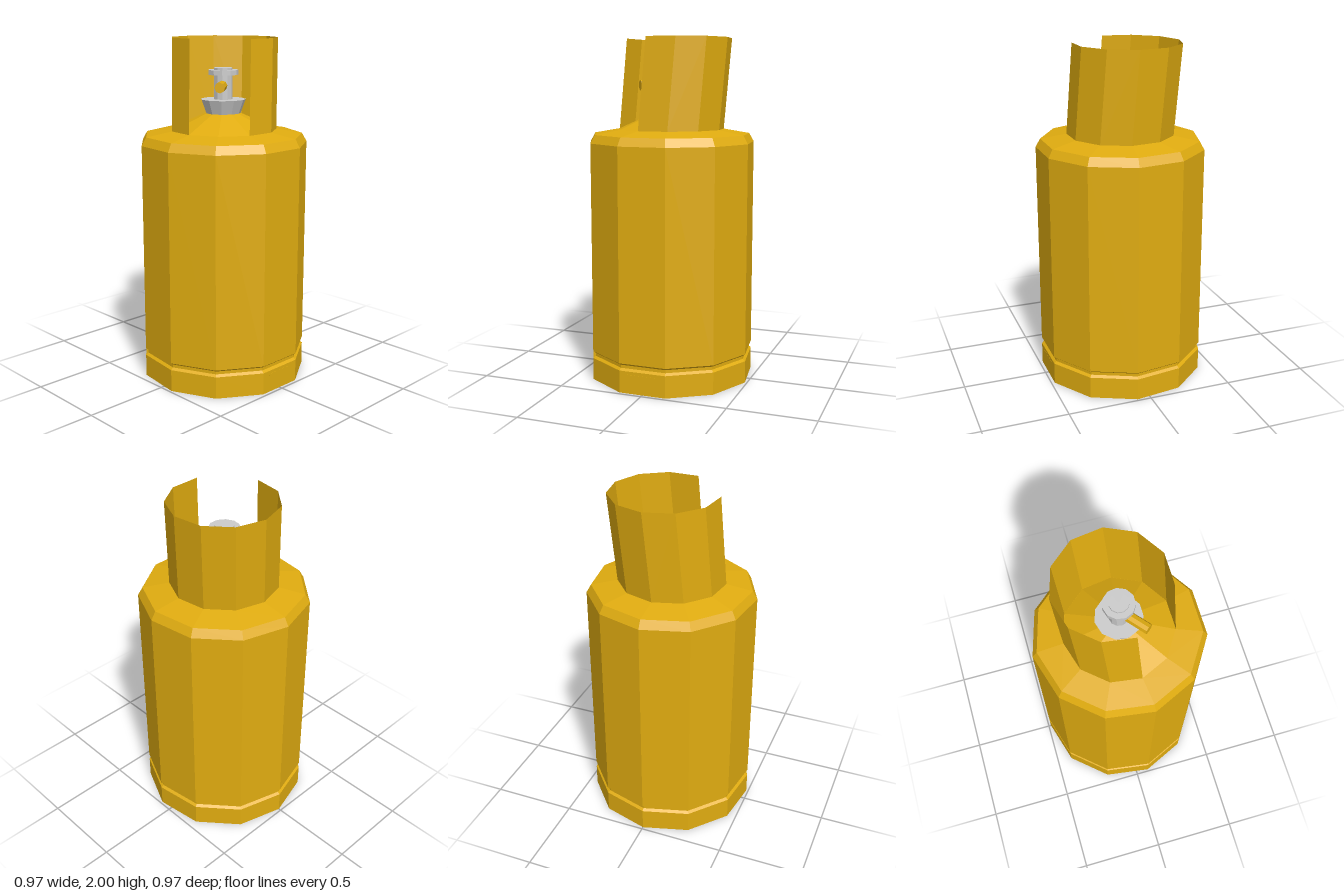
import * as THREE from 'three';

const SIDES = 11;
const STEP = (Math.PI * 2) / SIDES;
const CENTRE_Z = 0.0075; // an odd-sided prism is not symmetric front to back

const paint = new THREE.MeshStandardMaterial({ color: 0xe0ac10, flatShading: true });
const paintThin = new THREE.MeshStandardMaterial({ color: 0xe0ac10, flatShading: true, side: THREE.DoubleSide });
const metal = new THREE.MeshStandardMaterial({ color: 0xcccccc, flatShading: true });

function addMesh(parent, name, geometry, material) {
  const mesh = new THREE.Mesh(geometry, material);
  mesh.name = name;
  parent.add(mesh);
  return mesh;
}

// Faceted turned part with one corner at the back; profile runs bottom to top
function turned(profile) {
  const points = profile.map(([r, y]) => new THREE.Vector2(r, y));
  return new THREE.LatheGeometry(points, SIDES, Math.PI, Math.PI * 2);
}

export function createModel() {
  const model = new THREE.Group();
  model.name = 'gasCylinder';

  const bottle = new THREE.Group();
  bottle.name = 'bottle';
  bottle.position.z = CENTRE_Z;
  model.add(bottle);

  // Tank with foot groove, bevelled shoulder and shallow dome
  addMesh(bottle, 'tank', turned([
    [0, 0], [0.4925, 0], [0.4925, 0.13], [0.477, 0.142], [0.477, 0.16],
    [0.4925, 0.172], [0.4925, 1.4], [0.465, 1.448], [0.312, 1.475], [0.09, 1.575], [0, 1.575],
  ]), paint);

  // Thin strip on the front of the foot
  const strip = addMesh(bottle, 'footStrip', new THREE.BoxGeometry(0.18, 0.012, 0.01), paint);
  strip.position.set(0, 0.105, 0.4925 * Math.cos(Math.PI / SIDES) - 0.004);

  // Leaning guard collar, two of its eleven panels left open for the valve
  const bottom = 1.475, height = 0.525;
  const collar = new THREE.CylinderGeometry(
    0.3125, 0.3125, height, SIDES - 2, 1, true, Math.PI + 5 * STEP, (SIDES - 2) * STEP);
  collar.translate(0, height / 2, 0);
  const pos = collar.attributes.position;
  for (let i = 0; i < pos.count; i++) {
    const t = pos.getY(i) / height;
    pos.setX(i, pos.getX(i) + 0.037 * t);
    pos.setZ(i, pos.getZ(i) - 0.03 * t);
  }
  collar.computeVertexNormals();
  addMesh(bottle, 'guardCollar', collar, paintThin).position.y = bottom;

  // Valve: flared base, stem and hand wheel
  const valve = new THREE.Group();
  valve.name = 'valve';
  bottle.add(valve);
  addMesh(valve, 'valveBase', turned([[0, 1.55], [0.095, 1.55], [0.132, 1.65], [0, 1.65]]), metal);
  addMesh(valve, 'valveStem', turned([[0.055, 1.6], [0.055, 1.83], [0, 1.83]]), metal);
  addMesh(valve, 'handWheel', turned([[0, 1.79], [0.088, 1.79], [0.088, 1.818], [0, 1.818]]), metal);

  // Outlet nozzle pointing out through the collar opening
  const outlet = addMesh(valve, 'outletNozzle', new THREE.CylinderGeometry(0.03, 0.03, 0.16, 8), paint);
  const direction = new THREE.Vector3(-0.77, 0, 0.64).normalize();
  outlet.quaternion.setFromUnitVectors(new THREE.Vector3(0, 1, 0), direction);
  outlet.position.copy(direction).multiplyScalar(0.108).setY(1.73);

  return model;
}
